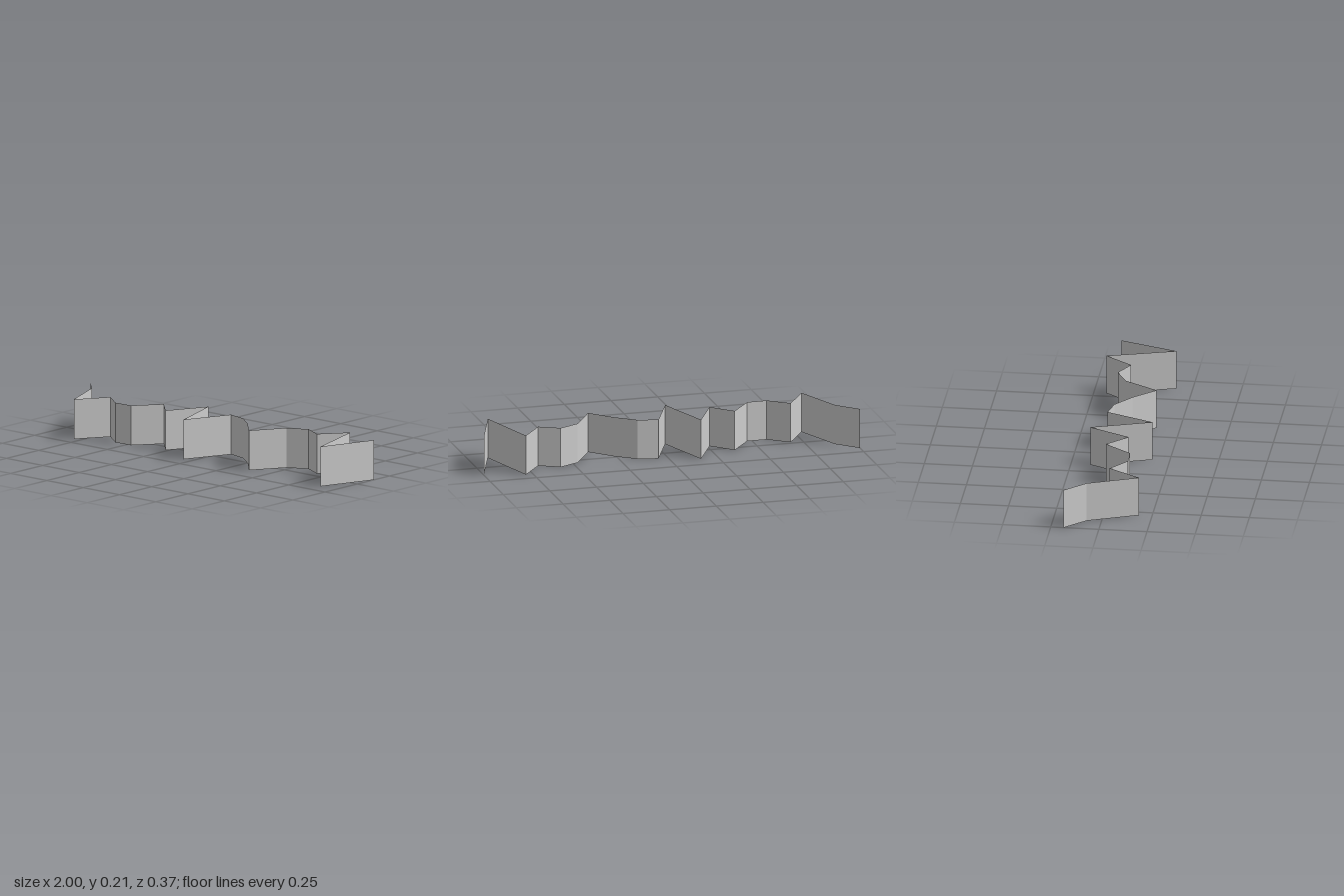
import * as THREE from 'three';

// Depth of each fold line, evenly spaced along x from right (-x) to left (+x)
const FOLD_Z = [
  -0.183, -0.076, 0.183, 0.017, 0.098, 0.096, -0.042, 0.063, -0.149, 0.16,
  -0.087, -0.063, 0.018, 0.129, -0.044, -0.098, -0.043, -0.183, 0.166, -0.132,
];
const LENGTH = 2;
const HEIGHT = 0.21;

export function createModel() {
  const group = new THREE.Group();
  group.name = 'foldedScreen';

  // Thin upright strip: one plane column per panel, bent at the fold lines
  const panels = FOLD_Z.length - 1;
  const strip = new THREE.PlaneGeometry(LENGTH, HEIGHT, panels, 1);
  strip.translate(0, HEIGHT / 2, 0);
  const pos = strip.attributes.position;
  for (let i = 0; i < pos.count; i++) pos.setZ(i, FOLD_Z[i % FOLD_Z.length]);

  // Separate the panels so every fold stays sharp
  const geometry = strip.toNonIndexed();
  geometry.computeVertexNormals();

  const material = new THREE.MeshStandardMaterial({
    color: 0xcccccc,
    flatShading: true,
    side: THREE.DoubleSide,
  });
  const mesh = new THREE.Mesh(geometry, material);
  mesh.name = 'foldedStrip';
  group.add(mesh);
  return group;
}
